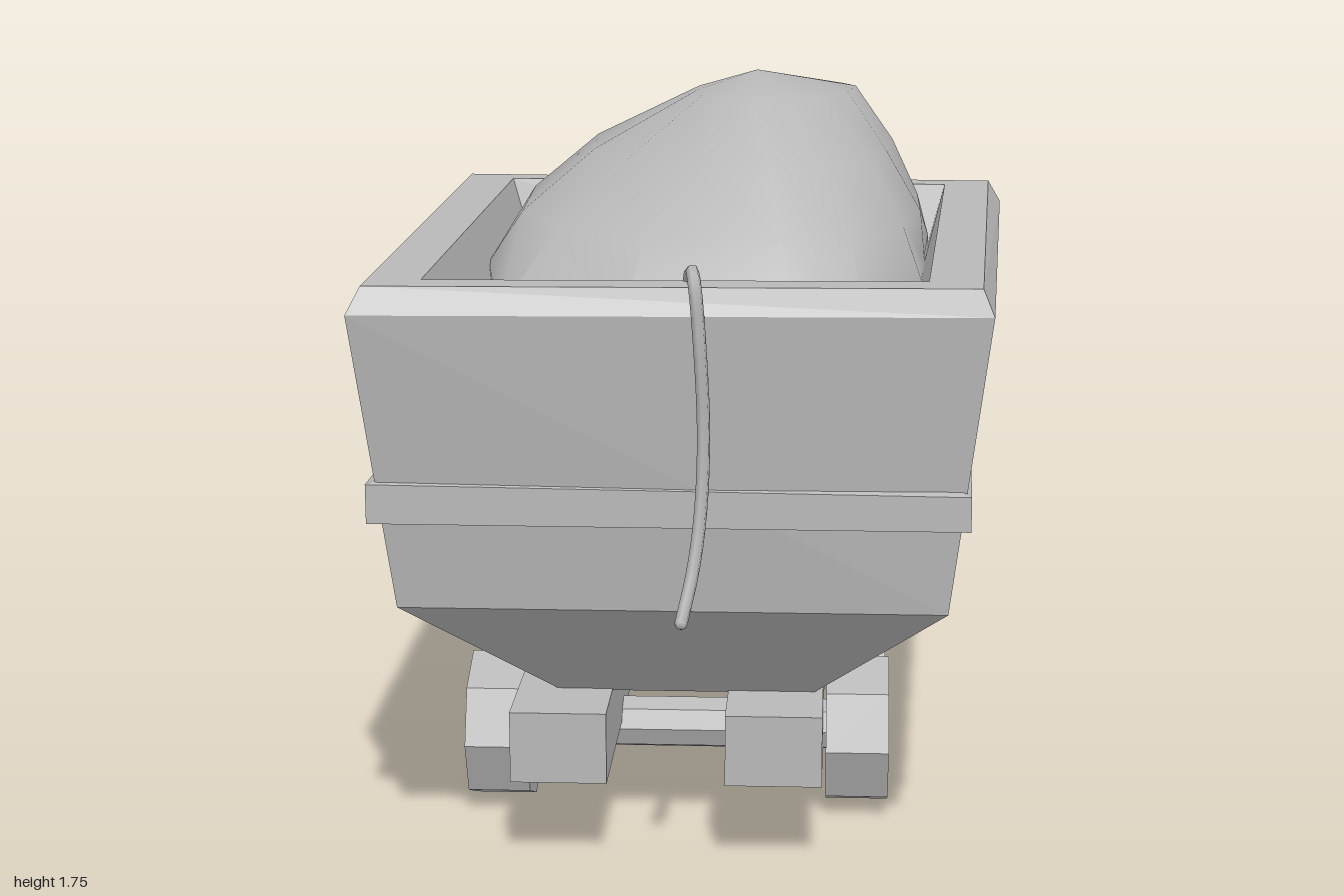
import * as THREE from 'three';
import { toCreasedNormals } from 'three/addons/utils/BufferGeometryUtils.js';

const grey = new THREE.MeshStandardMaterial({ color: 0xb8b8b8 });
grey.name = 'plain grey';

// Ring of corners [x, z], clockwise from above; y is one height or one per corner
const ring = (y, pts) => pts.map(([x, z], i) => [x, Array.isArray(y) ? y[i] : y, z]);

// Skin over a stack of rings, closed by a fan at each end or joined end to start
function loft(rings, { loop = false, apex = null } = {}) {
  const n = rings[0].length, m = rings.length, idx = [];
  const verts = rings.flat();
  for (let r = 0; r < (loop ? m : m - 1); r++) {
    for (let i = 0; i < n; i++) {
      const j = (i + 1) % n, a = r * n, b = ((r + 1) % m) * n;
      idx.push(a + i, b + i, b + j, a + i, b + j, a + j);
    }
  }
  if (!loop) {
    for (let i = 1; i < n - 1; i++) idx.push(0, i, i + 1);
    const top = (m - 1) * n;
    if (apex) {
      verts.push(apex);
      for (let i = 0; i < n; i++) idx.push(top + i, m * n, top + (i + 1) % n);
    } else {
      for (let i = 1; i < n - 1; i++) idx.push(top, top + i + 1, top + i);
    }
  }
  const g = new THREE.BufferGeometry();
  g.setAttribute('position', new THREE.Float32BufferAttribute(verts.flat(), 3));
  g.setIndex(idx);
  g.computeVertexNormals();
  return g;
}

function flat(geo) {
  const g = geo.index ? geo.toNonIndexed() : geo;
  g.computeVertexNormals();
  return g;
}

export function createModel() {
  const model = new THREE.Group();
  model.name = 'mineCart';
  const add = (name, geo, x = 0, y = 0, z = 0) => {
    const mesh = new THREE.Mesh(geo, grey);
    mesh.name = name;
    mesh.position.set(x, y, z);
    model.add(mesh);
    return mesh;
  };

  // Crooked open tub: hopper bottom, flared walls, bevelled rim, inner well
  add('tub', flat(loft([
    ring(0.38, [[-0.34, -0.57], [0.30, -0.57], [0.27, 0.55], [-0.33, 0.55]]),
    ring(0.66, [[-0.67, -0.82], [0.63, -0.82], [0.575, 0.82], [-0.67, 0.82]]),
    ring(1.35, [[-0.75, -0.99], [0.77, -0.91], [0.66, 0.88], [-0.75, 0.92]]),
    ring(1.41, [[-0.73, -0.96], [0.735, -0.885], [0.635, 0.86], [-0.72, 0.89]]),
    ring(1.41, [[-0.60, -0.87], [0.61, -0.80], [0.52, 0.77], [-0.60, 0.80]]),
    ring(1.10, [[-0.50, -0.77], [0.52, -0.70], [0.43, 0.67], [-0.50, 0.71]]),
  ])));

  // Slanted band around the tub
  const bandInner = [[-0.66, -0.82], [0.62, -0.82], [0.56, 0.81], [-0.66, 0.81]];
  const bandOuter = [[-0.725, -0.89], [0.69, -0.885], [0.62, 0.865], [-0.725, 0.875]];
  add('band', flat(loft([
    ring([0.85, 0.83, 0.865, 0.87], bandInner),
    ring([0.85, 0.83, 0.865, 0.87], bandOuter),
    ring([0.92, 0.885, 0.945, 0.96], bandOuter),
    ring([0.95, 0.915, 0.965, 0.98], bandInner),
  ], { loop: true })));

  // Lumpy heap of ore
  const foot = [[-0.57, -0.77], [-0.28, -0.8], [0.1, -0.77], [0.52, -0.8], [0.56, -0.6], [0.54, -0.25],
    [0.53, 0.13], [0.39, 0.45], [0.22, 0.57], [-0.2, 0.55], [-0.5, 0.27], [-0.57, -0.1]];
  const heap = loft([
    ring(1.08, foot),
    ring([1.3, 1.3, 1.3, 1.3, 1.3, 1.3, 1.28, 1.22, 1.18, 1.18, 1.24, 1.3], foot),
    ring(1.41, [[-0.52, -0.72], [-0.25, -0.8], [0.1, -0.79], [0.5, -0.8], [0.53, -0.62], [0.53, -0.3],
      [0.48, -0.02], [0.35, 0.18], [0.18, 0.28], [-0.15, 0.22], [-0.38, 0.03], [-0.5, -0.25]]),
    ring(1.56, [[-0.34, -0.68], [-0.15, -0.77], [0.12, -0.77], [0.42, -0.76], [0.46, -0.6], [0.44, -0.35],
      [0.4, -0.12], [0.3, 0.03], [0.15, 0.12], [-0.05, 0.07], [-0.22, -0.1], [-0.32, -0.35]]),
    ring(1.7, [[-0.06, -0.6], [-0.02, -0.7], [0.12, -0.71], [0.32, -0.7], [0.36, -0.62], [0.34, -0.45],
      [0.28, -0.3], [0.2, -0.2], [0.1, -0.14], [0.02, -0.2], [-0.04, -0.34], [-0.06, -0.48]]),
  ], { apex: [0.1, 1.755, -0.48] });
  add('oreHeap', toCreasedNormals(heap, 1.0));

  // Two chassis beams with the upper rear edge cut off
  const side = new THREE.Shape([[-0.74, 0.215], [1.0, 0.215], [1.0, 0.335], [0.95, 0.385], [-0.74, 0.385]]
    .map(([a, b]) => new THREE.Vector2(a, b)));
  const beam = new THREE.ExtrudeGeometry(side, { depth: 0.225, bevelEnabled: false });
  beam.rotateY(Math.PI / 2);
  for (const [name, x] of [['rightBeam', -0.43], ['leftBeam', 0.07]]) add(name, beam, x);

  // Eight-sided wheels with a grooved hub, and their axles
  const profile = [[0, 0], [0.187, 0], [0.187, 0.153], [0.137, 0.153], [0.122, 0.115],
    [0.105, 0.115], [0.095, 0.143], [0, 0.143]].map(([r, h]) => new THREE.Vector2(r, h));
  const wheel = flat(new THREE.LatheGeometry(profile, 8));
  const axle = flat(new THREE.CylinderGeometry(0.065, 0.065, 0.76, 8));
  axle.rotateZ(Math.PI / 2);
  for (const [end, z] of [['front', 0.245], ['rear', -0.41]]) {
    add(end + 'Axle', axle, -0.065, 0.197, z);
    add(end + 'LeftWheel', wheel, 0.302, 0.188, z).rotation.z = -Math.PI / 2;
    add(end + 'RightWheel', wheel, -0.428, 0.188, z).rotation.z = Math.PI / 2;
  }

  // Rope hung over the front rim
  const path = new THREE.CatmullRomCurve3([
    [0, 1.13, 0.67], [-0.01, 1.38, 0.76], [0, 1.44, 0.83], [0.01, 1.425, 0.9], [0.02, 1.32, 0.912],
    [0.03, 1.1, 0.905], [0.025, 0.93, 0.92], [0.01, 0.8, 0.95], [-0.015, 0.685, 0.99],
  ].map((p) => new THREE.Vector3(...p)));
  add('rope', new THREE.TubeGeometry(path, 28, 0.015, 6));
  const cap = new THREE.SphereGeometry(0.015, 6, 4);
  for (const t of [0, 1]) add('ropeEnd', cap, ...path.getPoint(t).toArray());

  // Small faceted knob on the right wall
  const knob = add('knob', flat(new THREE.SphereGeometry(1, 8, 5)), -0.728, 1.24, -0.82);
  knob.scale.set(0.043, 0.06, 0.05);

  return model;
}
